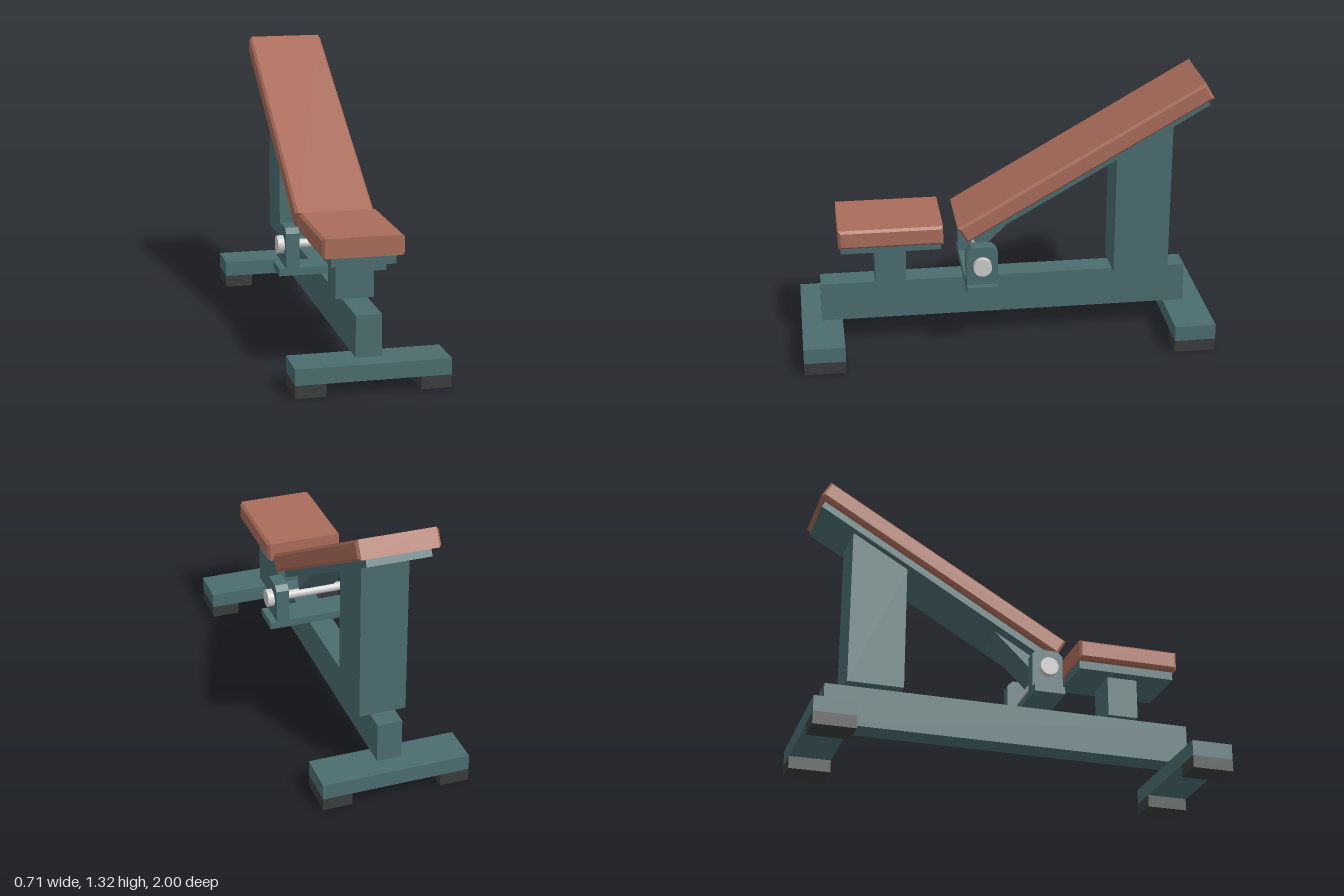
import * as THREE from 'three';

const mat = (color) => new THREE.MeshStandardMaterial({ color, flatShading: true });

export function createModel() {
  const model = new THREE.Group();
  model.name = 'adjustableBench';
  const steel = mat(0x4a6c6e);
  const leather = mat(0xa96c5a);
  const rubber = mat(0x3a3c3c);
  const metal = new THREE.MeshStandardMaterial({ color: 0xcccccc });

  const add = (name, geometry, material, x = 0, y = 0, z = 0, parent = model) => {
    const mesh = new THREE.Mesh(geometry, material);
    mesh.name = name;
    mesh.position.set(x, y, z);
    parent.add(mesh);
    return mesh;
  };

  // Box given by its centre x, width, and its y and z ranges
  const box = (name, material, x, w, y0, y1, z0, z1, parent = model) =>
    add(name, new THREE.BoxGeometry(w, y1 - y0, z1 - z0), material, x, (y0 + y1) / 2, (z0 + z1) / 2, parent);

  // Side profile of [z, y] points, extruded across x and centred
  const sideExtrude = (points, width, bevel = 0) => {
    const shape = new THREE.Shape(points.map(([z, y]) => new THREE.Vector2(z, y)));
    const depth = width - 2 * bevel;
    const geometry = new THREE.ExtrudeGeometry(shape, {
      depth, bevelEnabled: bevel > 0, bevelThickness: bevel, bevelSize: bevel, bevelOffset: -bevel, bevelSegments: 1,
    });
    return geometry.translate(0, 0, -depth / 2).rotateY(-Math.PI / 2);
  };

  // Cushion with all edges chamfered
  const cushion = (w, h, l) =>
    sideExtrude([[-l / 2, -h / 2], [l / 2, -h / 2], [l / 2, h / 2], [-l / 2, h / 2]], w, 0.012);

  // Base: long beam, two cross feet and four rubber pads
  box('mainBeam', steel, 0, 0.12, 0.135, 0.33, -0.9, 0.9);
  for (const [label, z0] of [['front', 0.8], ['rear', -1]]) {
    box(label + 'CrossFoot', steel, 0, 0.71, 0.06, 0.135, z0, z0 + 0.2);
    for (const s of [-1, 1]) {
      box(label + (s > 0 ? 'Left' : 'Right') + 'RubberPad', rubber, s * 0.285, 0.14, 0, 0.06, z0, z0 + 0.2);
    }
  }

  // Seat: post, plate and cushion
  box('seatPost', steel, 0, 0.18, 0.33, 0.53, 0.485, 0.635);
  box('seatPlate', steel, 0, 0.3, 0.528, 0.572, 0.32, 0.8);
  add('seatCushion', cushion(0.38, 0.093, 0.5), leather, 0, 0.615, 0.56);

  // Hinge bracket with chamfered ears and a through axle
  box('hingeBase', steel, 0, 0.526, 0.33, 0.367, 0.055, 0.205);
  const ear = sideExtrude(
    [[0.055, 0.367], [0.205, 0.367], [0.205, 0.535], [0.18, 0.56], [0.08, 0.56], [0.055, 0.535]], 0.064);
  const axle = new THREE.CylinderGeometry(0.022, 0.022, 0.48, 24).rotateZ(Math.PI / 2);
  const head = new THREE.CylinderGeometry(0.044, 0.044, 0.032, 24).rotateZ(Math.PI / 2);
  add('hingeAxle', axle, metal, 0, 0.467, 0.13);
  for (const s of [-1, 1]) {
    const side = s > 0 ? 'left' : 'right';
    add(side + 'HingeEar', ear, steel, s * 0.198);
    add(side + 'AxleHead', head, metal, s * 0.246, 0.467, 0.13);
  }

  // Wedge joining the backrest plate to the axle
  add('hingeWedge', sideExtrude([[0.15, 0.565], [-0.086, 0.7], [-0.086, 0.69], [0.12, 0.49], [0.135, 0.485]], 0.18), steel);

  // Rear post with a sloping top
  add('rearPost', sideExtrude([[-0.805, 0.33], [-0.535, 0.33], [-0.535, 0.95], [-0.805, 1.106]], 0.226), steel);

  // Backrest tilted thirty degrees
  const backrest = new THREE.Group();
  backrest.name = 'backrest';
  backrest.position.set(0, 0.945, -0.37);
  backrest.rotation.x = Math.PI / 6;
  model.add(backrest);
  add('backCushion', cushion(0.38, 0.09, 1.36), leather, 0, 0, 0, backrest);
  box('backPlate', steel, 0, 0.3, -0.078, -0.04, -0.65, 0.65, backrest);

  return model;
}
